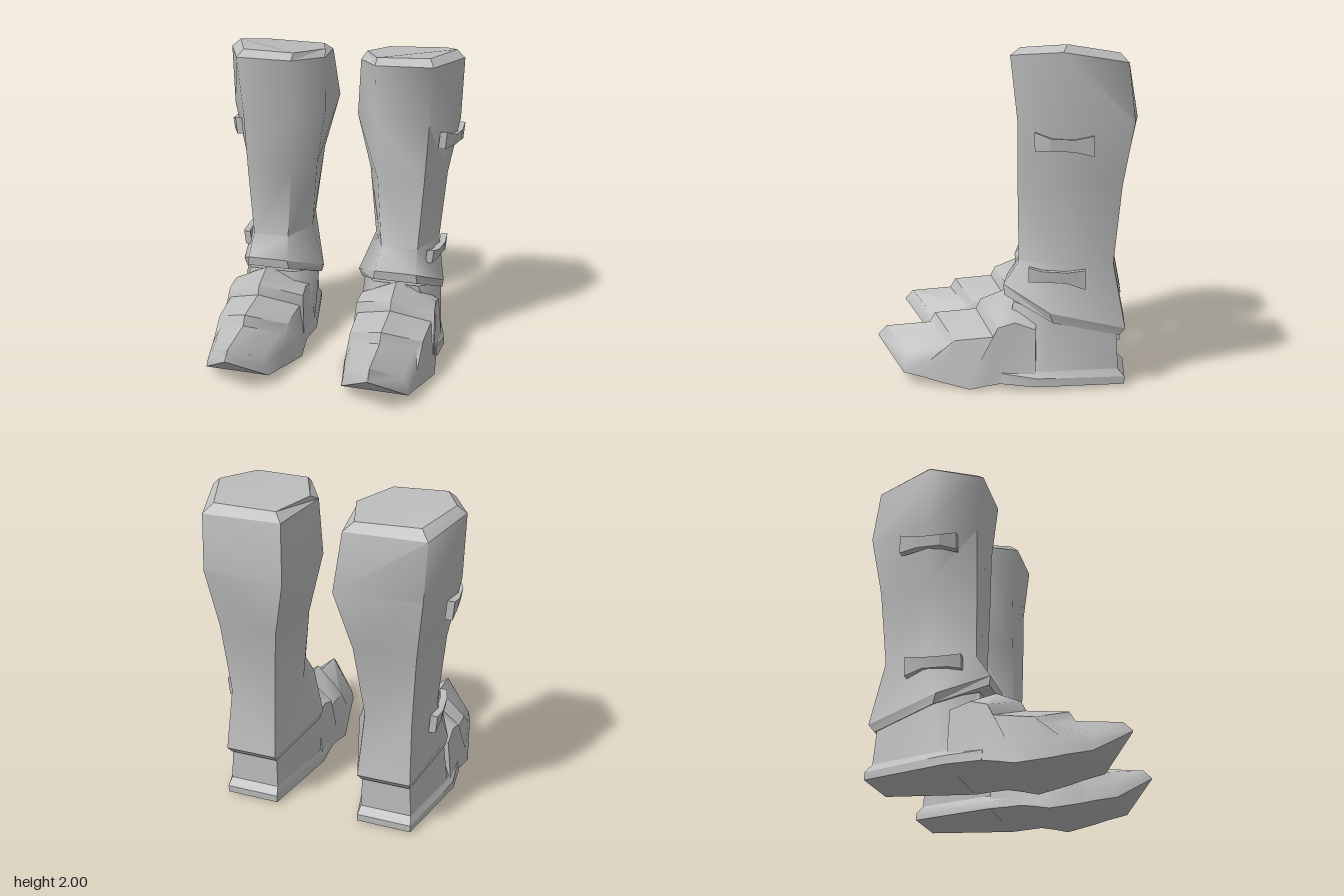
import * as THREE from 'three';
import { toCreasedNormals } from 'three/addons/utils/BufferGeometryUtils.js';

const grey = new THREE.MeshStandardMaterial({ color: 0xbcbcbc });
grey.name = 'plain grey';

// Closed loft through rings of [x, y, z]; faces are turned outwards by signed volume.
function loft(name, rings, side, crease) {
  const n = rings[0].length;
  const pts = rings.map(r => r.map(([x, y, z]) => new THREE.Vector3(x * side, y, z)));
  const tris = [];
  for (let i = 0; i + 1 < pts.length; i++) {
    for (let j = 0; j < n; j++) {
      const k = (j + 1) % n;
      const a = pts[i][j], b = pts[i][k], c = pts[i + 1][k], d = pts[i + 1][j];
      tris.push([a, b, c], [a, c, d]);
    }
  }
  const first = pts[0], last = pts[pts.length - 1];
  for (let j = 1; j + 1 < n; j++) {
    tris.push([first[0], first[j + 1], first[j]], [last[0], last[j], last[j + 1]]);
  }
  const cross = new THREE.Vector3();
  let volume = 0;
  for (const [a, b, c] of tris) volume += a.dot(cross.crossVectors(b, c));
  const pos = [];
  for (const [a, b, c] of tris) {
    for (const p of volume < 0 ? [a, c, b] : [a, b, c]) pos.push(p.x, p.y, p.z);
  }
  const geo = new THREE.BufferGeometry();
  geo.setAttribute('position', new THREE.Float32BufferAttribute(pos, 3));
  const mesh = new THREE.Mesh(toCreasedNormals(geo, crease), grey);
  mesh.name = name;
  return mesh;
}

// Six-sided sections: front inner, front outer, outer, back outer, back inner, inner.
const level = (y, corners) => corners.map(([x, z]) => [x, y, z]);

const rim = [[0.27, 1.935, -0.045], [0.63, 1.94, -0.045], [0.775, 1.955, -0.35],
  [0.66, 1.9, -0.715], [0.18, 1.9, -0.715], [0.12, 1.92, -0.3]];
const rimTop = [[0.27, 1.975, -0.1], [0.6, 1.985, -0.1], [0.72, 2, -0.37],
  [0.61, 1.955, -0.665], [0.23, 1.945, -0.66], [0.14, 1.96, -0.38]];
const calf = level(1.57, [[0.27, -0.085], [0.61, -0.085], [0.765, -0.35], [0.655, -0.755], [0.15, -0.79], [0.11, -0.27]]);
const shin = level(1.2, [[0.29, -0.085], [0.59, -0.085], [0.695, -0.36], [0.61, -0.69], [0.24, -0.71], [0.185, -0.33]]);
const ankle = level(0.74, [[0.32, -0.09], [0.56, -0.09], [0.655, -0.37], [0.58, -0.645], [0.29, -0.645], [0.225, -0.35]]);
const hem = [[0.3, 0.6, 0], [0.57, 0.6, 0], [0.71, 0.465, -0.28],
  [0.6, 0.355, -0.72], [0.27, 0.355, -0.72], [0.125, 0.48, -0.28]];
const hemUnder = [[0.29, 0.54, -0.005], [0.58, 0.54, -0.005], [0.7, 0.405, -0.3],
  [0.59, 0.31, -0.685], [0.28, 0.31, -0.685], [0.145, 0.42, -0.3]];

const heel = [
  [[0.28, 0.5, -0.06], [0.58, 0.5, -0.06], [0.69, 0.43, -0.3], [0.585, 0.34, -0.67], [0.285, 0.34, -0.67], [0.165, 0.44, -0.3]],
  [[0.19, 0.12, 0], [0.7, 0.12, 0], [0.71, 0.115, -0.25], [0.6, 0.11, -0.68], [0.28, 0.11, -0.68], [0.18, 0.115, -0.25]],
];
const heelSole = [
  heel[1],
  [[0.175, 0.1, 0], [0.72, 0.1, 0], [0.74, 0.08, -0.21], [0.61, 0.065, -0.72], [0.27, 0.065, -0.72], [0.16, 0.08, -0.21]],
  [[0.17, 0.04, 0], [0.73, 0.04, 0], [0.742, 0.03, -0.2], [0.61, 0.02, -0.72], [0.27, 0.02, -0.72], [0.155, 0.03, -0.2]],
];

// Forefoot section: sole corner, sole edge and shoulder as [halfWidth, z, y], ridge as [z, y].
function footRing(sole, edge, shoulder, [cz, cy]) {
  const cx = 0.445;
  const at = ([w, z, y], s) => [cx + s * w, y, z];
  return [at(sole, -1), at(edge, -1), at(shoulder, -1), [cx, cy, cz],
    at(shoulder, 1), at(edge, 1), at(sole, 1)];
}

// Overlapping V-shaped plates stepping down to the pointed, raised toe
const forefoot = [
  footRing([0.285, -0.2, 0.03], [0.275, -0.2, 0.11], [0.25, -0.2, 0.36], [-0.2, 0.48]),
  footRing([0.28, 0, 0.04], [0.27, 0, 0.12], [0.25, -0.08, 0.4], [0, 0.54]),
  footRing([0.29, 0.09, 0.025], [0.28, 0.07, 0.11], [0.26, 0.02, 0.37], [0.15, 0.475]),
  footRing([0.3, 0.18, 0.005], [0.285, 0.16, 0.1], [0.245, 0.05, 0.31], [0.18, 0.415]),
  footRing([0.255, 0.38, 0.035], [0.245, 0.36, 0.14], [0.235, 0.28, 0.28], [0.43, 0.385]),
  footRing([0.24, 0.45, 0.05], [0.23, 0.43, 0.15], [0.205, 0.33, 0.24], [0.465, 0.325]),
  footRing([0.21, 0.59, 0.07], [0.197, 0.59, 0.13], [0.17, 0.58, 0.18], [0.73, 0.295]),
  footRing([0.004, 0.785, 0.235], [0.003, 0.78, 0.245], [0.002, 0.755, 0.27], [0.732, 0.296]),
];

// Strap bar, wide at both ends and narrow in the middle: stations [x, y, z, halfHeight]
function strap(name, stations, side) {
  const t = 0.022;
  const rings = stations.map(([x, y, z, h]) => [
    [x - t, y - h, z], [x + t, y - h, z], [x + t + 0.01, y + h, z], [x - t + 0.01, y + h, z]]);
  return loft(name, rings, side, 0.3);
}

function boot(name, side) {
  const g = new THREE.Group();
  g.name = name;
  g.add(
    loft('shaft', [rim, calf, shin, ankle, hem], side, 1.2),
    loft('topRim', [rimTop, rim], side, 0.3),
    loft('collarHem', [hem, hemUnder], side, 0.3),
    loft('heel', heel, side, 1.2),
    loft('heelSole', heelSole, side, 0.4),
    loft('forefoot', forefoot, side, 0.75),
    strap('upperStrap', [[0.675, 1.455, -0.19, 0.055], [0.725, 1.445, -0.28, 0.035],
      [0.74, 1.44, -0.42, 0.035], [0.74, 1.44, -0.525, 0.058]], side),
    strap('lowerStrap', [[0.625, 0.675, -0.155, 0.045], [0.65, 0.672, -0.23, 0.033],
      [0.665, 0.67, -0.38, 0.033], [0.66, 0.66, -0.485, 0.058]], side),
  );
  return g;
}

export function createModel() {
  const model = new THREE.Group();
  model.name = 'bootsPair';
  model.add(boot('leftBoot', 1), boot('rightBoot', -1));
  return model;
}
